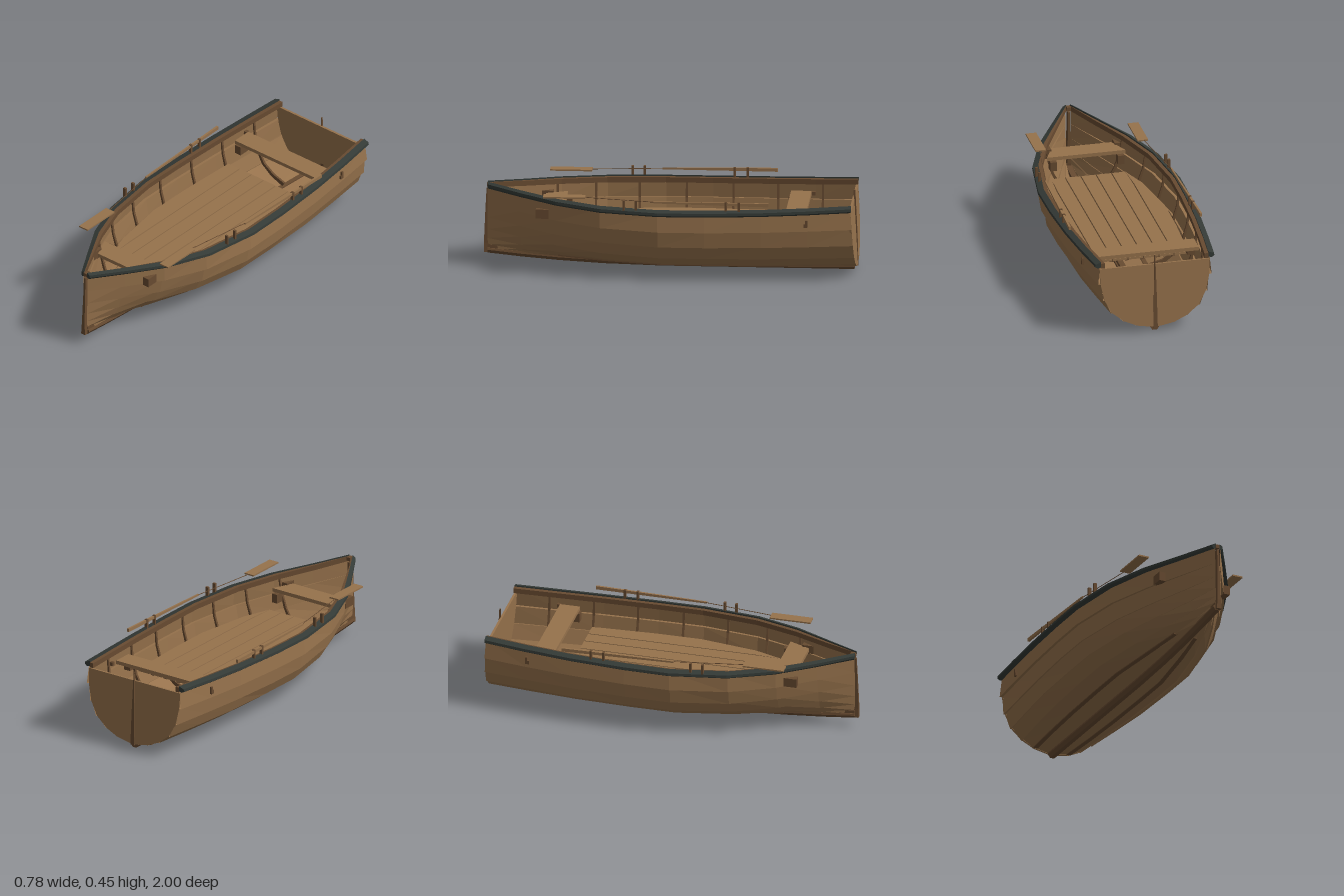
import * as THREE from 'three';

const mat = (name, color) => new THREE.MeshStandardMaterial({ name, color, flatShading: true, side: THREE.DoubleSide });

// Hull half-widths at seven plank edges (keel to sheer) for each station
const STATIONS = [
  [-0.98, [0.02, 0.10, 0.17, 0.235, 0.275, 0.295, 0.30]],
  [-0.75, [0.02, 0.115, 0.195, 0.26, 0.297, 0.318, 0.325]],
  [-0.5, [0.02, 0.125, 0.215, 0.282, 0.318, 0.34, 0.347]],
  [-0.2, [0.02, 0.13, 0.225, 0.29, 0.333, 0.355, 0.362]],
  [0.05, [0.02, 0.13, 0.225, 0.29, 0.333, 0.357, 0.364]],
  [0.36, [0.02, 0.095, 0.175, 0.238, 0.28, 0.308, 0.32]],
  [0.6, [0.018, 0.06, 0.11, 0.155, 0.19, 0.215, 0.232]],
  [0.8, [0.014, 0.03, 0.055, 0.075, 0.095, 0.11, 0.12]],
  [0.98, [0.008, 0.009, 0.01, 0.011, 0.012, 0.013, 0.016]],
];
const ZS = STATIONS.map((s) => s[0]);
const MID_Y = [0.03, 0.044, 0.074, 0.123, 0.193, 0.281, 0.385];
const BOW_Y = [0.075, 0.10, 0.135, 0.185, 0.25, 0.33, 0.43];
const RAKE = 0.055;
const rise = (z) => (z > 0 ? (z / 0.98) ** 2 : 0);
const lerp = THREE.MathUtils.lerp;

function base(z, j) {
  let i = 0;
  while (i < STATIONS.length - 2 && z > ZS[i + 1]) i++;
  const t = (z - ZS[i]) / (ZS[i + 1] - ZS[i]);
  const x = lerp(STATIONS[i][1][j], STATIONS[i + 1][1][j], t);
  const y = lerp(MID_Y[j], BOW_Y[j], rise(z)) + (z < 0 ? 0.025 * z * z * (j / 6) ** 2 : 0);
  return [x, y];
}
// Point on the hull section moved outwards by off; the stern section leans with the transom
function hullPoint(z, j, off = 0) {
  const k = Math.min(j, 5), a = base(z, k), b = base(z, k + 1), p = base(z, j);
  const dx = b[0] - a[0], dy = b[1] - a[1], l = Math.hypot(dx, dy);
  return [p[0] + (dy / l) * off, p[1] - (dx / l) * off, z < -0.9 ? z - 0.02 + RAKE * p[1] : z];
}
// Half-width of the hull at height y
function widthAt(z, y) {
  for (let j = 0; j < 6; j++) {
    const a = base(z, j), b = base(z, j + 1);
    if (y <= b[1]) return lerp(a[0], b[0], Math.max(0, (y - a[1]) / (b[1] - a[1])));
  }
  return base(z, 6)[0];
}

// Skin through rings of points; closed rings also get end caps
function loft(rings, closed = true, side = 1) {
  const n = rings[0].length, pos = [], idx = [];
  rings.forEach((r) => r.forEach(([x, y, z]) => pos.push(x * side, y, z)));
  const tri = (a, b, c) => (side > 0 ? idx.push(a, b, c) : idx.push(a, c, b));
  for (let i = 0; i < rings.length - 1; i++)
    for (let k = 0; k < (closed ? n : n - 1); k++) {
      const a = i * n + k, b = i * n + ((k + 1) % n);
      tri(a, b, a + n); tri(b, b + n, a + n);
    }
  if (closed) {
    const e = (rings.length - 1) * n;
    for (let k = 1; k < n - 1; k++) { tri(0, k + 1, k); tri(e, e + k, e + k + 1); }
  }
  const g = new THREE.BufferGeometry();
  g.setAttribute('position', new THREE.Float32BufferAttribute(pos, 3));
  g.setIndex(idx);
  const flat = g.toNonIndexed();
  flat.computeVertexNormals();
  return flat;
}
const rect = (x0, x1, y0, y1, z) => [[x0, y0, z], [x1, y0, z], [x1, y1, z], [x0, y1, z]];
const slab = (w, z0, z1, y) => [[-w, y, z1], [w, y, z1], [w, y, z0], [-w, y, z0]];

export function createModel() {
  const group = new THREE.Group();
  const wood = mat('plank wood', 0x96724c);
  const trim = mat('dark wood', 0x684b31);
  const black = mat('rail paint', 0x343a36);
  const add = (name, geo, m) => {
    const mesh = new THREE.Mesh(geo, m);
    mesh.name = name;
    group.add(mesh);
    return mesh;
  };
  const box = (name, m, w, h, d, x, y, z) => {
    const b = add(name, new THREE.BoxGeometry(w, h, d), m);
    b.position.set(x, y, z);
    return b;
  };

  for (const s of [1, -1]) {
    const tag = s > 0 ? 'left' : 'right';

    // Overlapping planks
    add(tag + 'Planking', loft(ZS.map((z) => {
      const ring = [], fade = Math.min(1, (0.99 - z) * 3);
      for (let j = 0; j < 6; j++) ring.push(hullPoint(z, j), hullPoint(z, j, [0.002, 0.004, 0.006, 0.009, 0.011, 0.016][j] * fade));
      ring.push(hullPoint(z, 6));
      return ring;
    }), false, s), wood);

    // Painted outer rail and inner wale
    add(tag + 'Rail', loft(ZS.map((z) => {
      const [x, y] = base(z, 6), t = Math.min(1, 0.5 + (0.98 - z));
      return [[x - 0.006, y - 0.012, z], [x + 0.012 * t, y - 0.018, z], [x + 0.027 * t, y - 0.008, z],
        [x + 0.025 * t, y + 0.006, z], [x - 0.006, y + 0.016, z]];
    }), true, s), black);
    add(tag + 'InnerWale', loft(ZS.map((z) => {
      const [x, y] = base(z, 6), t = Math.min(1, (1.0 - z) * 3);
      return rect(x - 0.006 - 0.022 * t, x - 0.006, y - 0.02, y + 0.008, z);
    }), true, s), trim);

    // Ribs against the inside of the hull, narrowing towards the rail
    for (const z of [-0.79, -0.55, -0.31, -0.06, 0.19, 0.42, 0.62]) {
      const rings = [1, 2, 3, 4, 5, 6].map((j) => {
        const a = hullPoint(z, j, -0.003), b = hullPoint(z, j, -0.031 + 0.0035 * j);
        return [[a[0], a[1], z - 0.006], [b[0], b[1], z - 0.006], [b[0], b[1], z + 0.006], [a[0], a[1], z + 0.006]];
      });
      add(tag + 'Rib', loft(rings, true, s), trim);
    }

    // Runner under the bilge
    add(tag + 'BilgeRunner', loft(ZS.slice(0, 7).map((z) => {
      const [x, y] = base(z, 1);
      return rect(x - 0.014, x + 0.01, y - 0.006, y + 0.004, z);
    }), true, s), trim);

    // Bow block and stern cleat on the hull side
    box(tag + 'BowBlock', trim, 0.036, 0.05, 0.07, s * 0.192, 0.326, 0.675);
    box(tag + 'SternCleat', trim, 0.03, 0.02, 0.02, s * 0.328, 0.322, -0.74);
    box(tag + 'SternCleatHorn', trim, 0.01, 0.035, 0.012, s * 0.338, 0.335, -0.745);

    // Thole pins in pairs
    for (const z of [0.23, 0.165, -0.315, -0.385])
      box(tag + 'TholePin', trim, 0.016, 0.06, 0.012, s * 0.354, 0.42, z);

    // Oar: blade, thin shaft and tapered handle
    box(tag + 'OarBlade', wood, 0.058, 0.008, 0.225, s * 0.28, 0.445, 0.552);
    const path = new THREE.LineCurve3(new THREE.Vector3(s * 0.285, 0.445, 0.45), new THREE.Vector3(s * 0.345, 0.44, 0.05));
    add(tag + 'OarShaft', new THREE.TubeGeometry(path, 1, 0.002, 5), trim);
    add(tag + 'OarHandle', loft([rect(0.354, 0.366, 0.429, 0.448, -0.545), rect(0.341, 0.349, 0.435, 0.444, 0.07)], true, s), wood);

    // Seat supports
    box(tag + 'RearSeatBlock', trim, 0.04, 0.05, 0.06, s * 0.275, 0.296, -0.64);
    box(tag + 'FrontSeatBlock', trim, 0.035, 0.05, 0.05, s * 0.185, 0.296, 0.565);
  }

  // Floor boards following the hull shape, with bearers below the seams
  const floorY = 0.235, floorZ = [-0.55, -0.5, -0.2, 0.05, 0.36, 0.52];
  const seams = [-0.4, -0.21, -0.127, -0.042, 0.042, 0.127, 0.21, 0.4];
  for (let i = 0; i < 7; i++) {
    add('floorBoard', loft(floorZ.map((z) => {
      const w = widthAt(z, floorY) * 0.89, fit = (x) => Math.max(-w, Math.min(w, x));
      return rect(fit(seams[i] + 0.003), fit(seams[i + 1] - 0.003), floorY - 0.012, floorY, z);
    })), wood);
    if (i) box('floorBearer', trim, 0.02, 0.012, 1.0, seams[i], floorY - 0.019, -0.03);
  }

  // Seats
  box('rearSeat', wood, 0.605, 0.02, 0.11, 0, 0.331, -0.675);
  add('frontSeat', loft([rect(-0.215, 0.215, 0.321, 0.341, 0.565), rect(-0.165, 0.165, 0.321, 0.341, 0.68)]), wood);

  // Leaning transom and tapered sternpost
  const half = [0, 1, 2, 3, 4, 5].map((j) => hullPoint(-0.98, j, 0.003));
  half.push([0.302, 0.385]);
  const left = half.map(([x, y]) => new THREE.Vector2(x, y));
  const right = half.map(([x, y]) => new THREE.Vector2(-x, y)).reverse();
  const transom = add('transom', new THREE.ExtrudeGeometry(new THREE.Shape([...left, ...right]), { depth: 0.012, bevelEnabled: false }), wood);
  transom.position.z = -1.0;
  transom.rotation.x = Math.atan(RAKE);
  add('sternpost', loft([slab(0.012, -1.0, -0.985, 0.02), slab(0.008, -0.995, -0.978, 0.2), slab(0.002, -0.984, -0.975, 0.435)]), trim);

  // Keel outside, keelson inside, stem at the bow
  add('keel', loft(ZS.map((z) => {
    const y = 0.055 * rise(z), t = base(z, 0)[1] + 0.008;
    return [[-0.012, y, z], [0.012, y, z], [0.025, y + 0.018, z], [0.022, t, z], [-0.022, t, z], [-0.025, y + 0.018, z]];
  })), trim);
  add('keelson', loft(ZS.map((z) => {
    const y = base(z, 0)[1];
    return rect(-0.015, 0.015, y, y + 0.025, z);
  })), trim);
  add('stem', loft([slab(0.014, 0.96, 1.0, 0.058), slab(0.01, 0.955, 1.0, 0.11), slab(0.006, 0.955, 0.992, 0.3), slab(0.006, 0.955, 0.986, 0.41)]), trim);
  box('stemHead', trim, 0.022, 0.02, 0.03, 0, 0.429, 0.968);

  return group;
}
